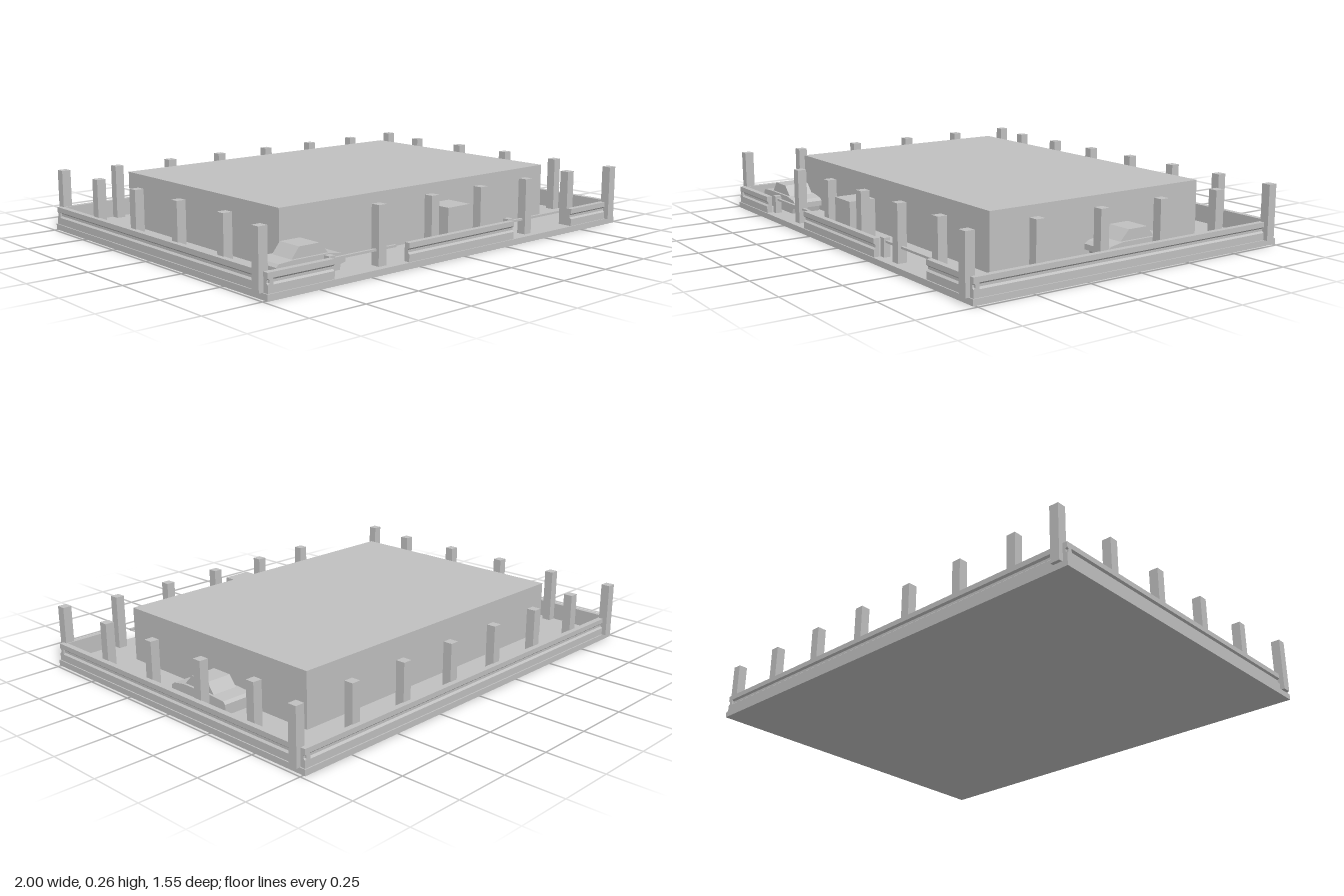
import * as THREE from 'three';

export function createModel() {
  const model = new THREE.Group();
  const grey = new THREE.MeshStandardMaterial({ color: 0xc0c0c0 });
  grey.name = 'plain grey';
  const FLOOR = 0.025;

  const add = (name, geometry, parent = model) => {
    const mesh = new THREE.Mesh(geometry, grey);
    mesh.name = name;
    parent.add(mesh);
    return mesh;
  };
  // Box given by its ranges on each axis
  const box = (name, x0, x1, y0, y1, z0, z1, parent) => {
    const g = new THREE.BoxGeometry(x1 - x0, y1 - y0, z1 - z0);
    g.translate((x0 + x1) / 2, (y0 + y1) / 2, (z0 + z1) / 2);
    return add(name, g, parent);
  };
  // Profile in x and y, extruded along z and centred on it
  const extrude = (points, depth) => {
    const shape = new THREE.Shape(points.map(([x, y]) => new THREE.Vector2(x, y)));
    const g = new THREE.ExtrudeGeometry(shape, { depth, bevelEnabled: false });
    return g.translate(0, 0, -depth / 2);
  };

  // Ground slab and main hall
  box('groundSlab', -0.985, 0.985, 0, FLOOR, -0.76, 0.76);
  box('mainHall', -0.75, 0.75, FLOOR, 0.26, -0.53, 0.525);

  // Perimeter wall with a shallow groove along its outer face
  const wall = (name, distance, along, length, angle) => {
    const d = distance;
    const profile = [
      [d - 0.025, FLOOR], [d, FLOOR], [d, 0.055], [d - 0.008, 0.062],
      [d - 0.008, 0.072], [d, 0.079], [d, 0.1], [d - 0.025, 0.1],
    ];
    const g = extrude(profile, length);
    g.translate(0, 0, along);
    add(name, g).rotation.y = angle;
  };
  wall('leftWall', 0.98, 0, 1.51, 0);
  wall('rightWall', 0.98, 0, 1.51, Math.PI);
  wall('backWall', 0.755, 0, 1.96, Math.PI / 2);
  for (const [x0, x1] of [[-0.98, -0.68], [-0.305, 0.3], [0.68, 0.98]]) {
    wall('frontWall', 0.755, -(x0 + x1) / 2, x1 - x0, -Math.PI / 2);
  }

  // Tall posts along the sides and at the corners
  const post = (name, x, z) =>
    box(name, x - 0.02, x + 0.02, FLOOR, 0.26, z - 0.02, z + 0.02);
  for (let i = 0; i < 6; i++) {
    const x = -0.7 + 0.28 * i;
    post('backPost', x, -0.713);
    if (i > 0) post('frontPost', x, 0.71);
  }
  for (const z of [-0.45, -0.15, 0.15, 0.45]) {
    post('rightPost', -0.94, z);
    post('leftPost', 0.937, z);
  }
  for (const [x, z] of [[-0.94, -0.755], [0.98, -0.713], [0.94, 0.755], [-0.98, 0.71]]) {
    post('cornerPost', x, z);
  }

  // Gate barriers and the booth between them
  for (const x of [-0.665, 0.313]) {
    const gate = new THREE.Group();
    gate.name = 'gateBarrier';
    gate.position.set(x, 0, 0.711);
    model.add(gate);
    box('gatePost', -0.014, 0.014, FLOOR, 0.103, -0.014, 0.014, gate);
    box('gateBoom', 0.014, 0.33, 0.083, 0.092, -0.006, 0.006, gate);
  }
  box('booth', -0.065, 0.06, FLOOR, 0.2, 0.61, 0.727);

  // Parked cars, nose towards local +x
  const car = (x, z, angle) => {
    const group = new THREE.Group();
    group.name = 'car';
    group.position.set(x, 0, z);
    group.rotation.y = angle;
    model.add(group);
    add('carBody', extrude([
      [-0.14, 0.028], [0.135, 0.028], [0.14, 0.05], [0.162, 0.055],
      [0.162, 0.078], [0.145, 0.09], [0.085, 0.1], [-0.085, 0.1],
      [-0.15, 0.096], [-0.162, 0.085], [-0.162, 0.052], [-0.14, 0.048],
    ], 0.134), group);
    add('carCabin', extrude([
      [-0.085, 0.098], [0.09, 0.098], [0.046, 0.143], [-0.048, 0.143],
    ], 0.112), group);
  };
  car(-0.72, 0.608, 0);
  car(0.832, -0.078, -Math.PI / 2);

  return model;
}
